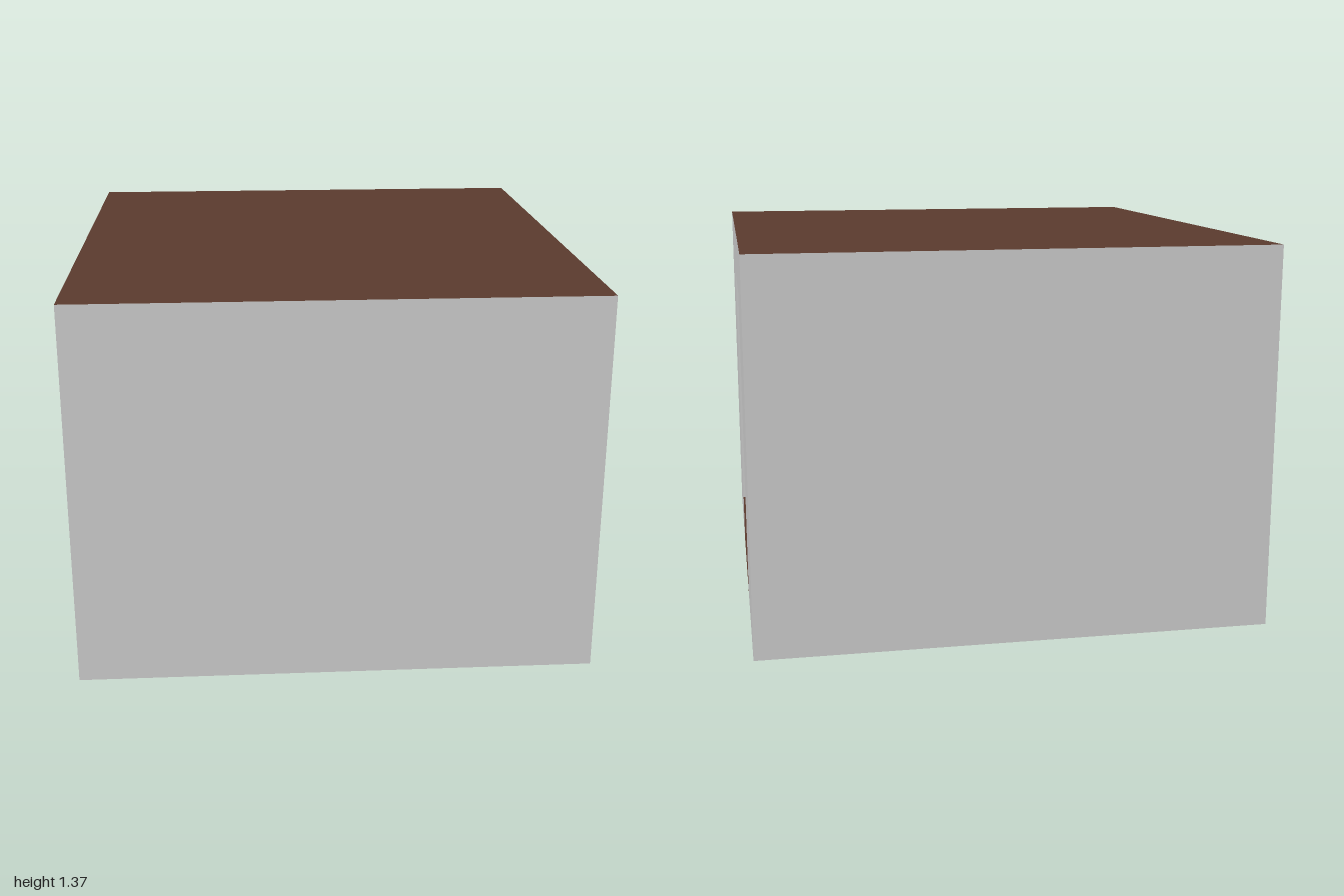
import * as THREE from 'three';

const W = 1.83, H = 1.37, D = 2;       // room width, height, depth
const DOOR_HALF = 0.335, DOOR_H = 1.165;

export function createModel() {
  const room = new THREE.Group();
  room.name = 'room';
  const wallGrey = new THREE.MeshStandardMaterial({ name: 'wallGrey', color: 0xc9c9c9, side: THREE.DoubleSide });
  const darkBrown = new THREE.MeshStandardMaterial({ name: 'darkBrown', color: 0x5a3a2d, side: THREE.DoubleSide });

  const add = (name, geometry, material) => {
    const mesh = new THREE.Mesh(geometry, material);
    mesh.name = name;
    room.add(mesh);
  };

  // Plain sheet walls, facing outwards
  add('frontWall', new THREE.PlaneGeometry(W, H).translate(0, H / 2, D / 2), wallGrey);
  add('backWall', new THREE.PlaneGeometry(W, H).rotateY(Math.PI).translate(0, H / 2, -D / 2), wallGrey);
  add('rightWall', new THREE.PlaneGeometry(D, H).rotateY(-Math.PI / 2).translate(-W / 2, H / 2, 0), wallGrey);

  // Side wall with a doorway open down to the floor
  const outline = [
    [-D / 2, 0], [-DOOR_HALF, 0], [-DOOR_HALF, DOOR_H], [DOOR_HALF, DOOR_H],
    [DOOR_HALF, 0], [D / 2, 0], [D / 2, H], [-D / 2, H],
  ].map(([x, y]) => new THREE.Vector2(x, y));
  const doorWall = new THREE.ShapeGeometry(new THREE.Shape(outline));
  add('doorWall', doorWall.rotateY(Math.PI / 2).translate(W / 2, 0, 0), wallGrey);

  // Flat roof and floor
  add('roof', new THREE.PlaneGeometry(W, D).rotateX(-Math.PI / 2).translate(0, H, 0), darkBrown);
  add('floor', new THREE.PlaneGeometry(W, D).rotateX(Math.PI / 2), darkBrown);

  return room;
}
